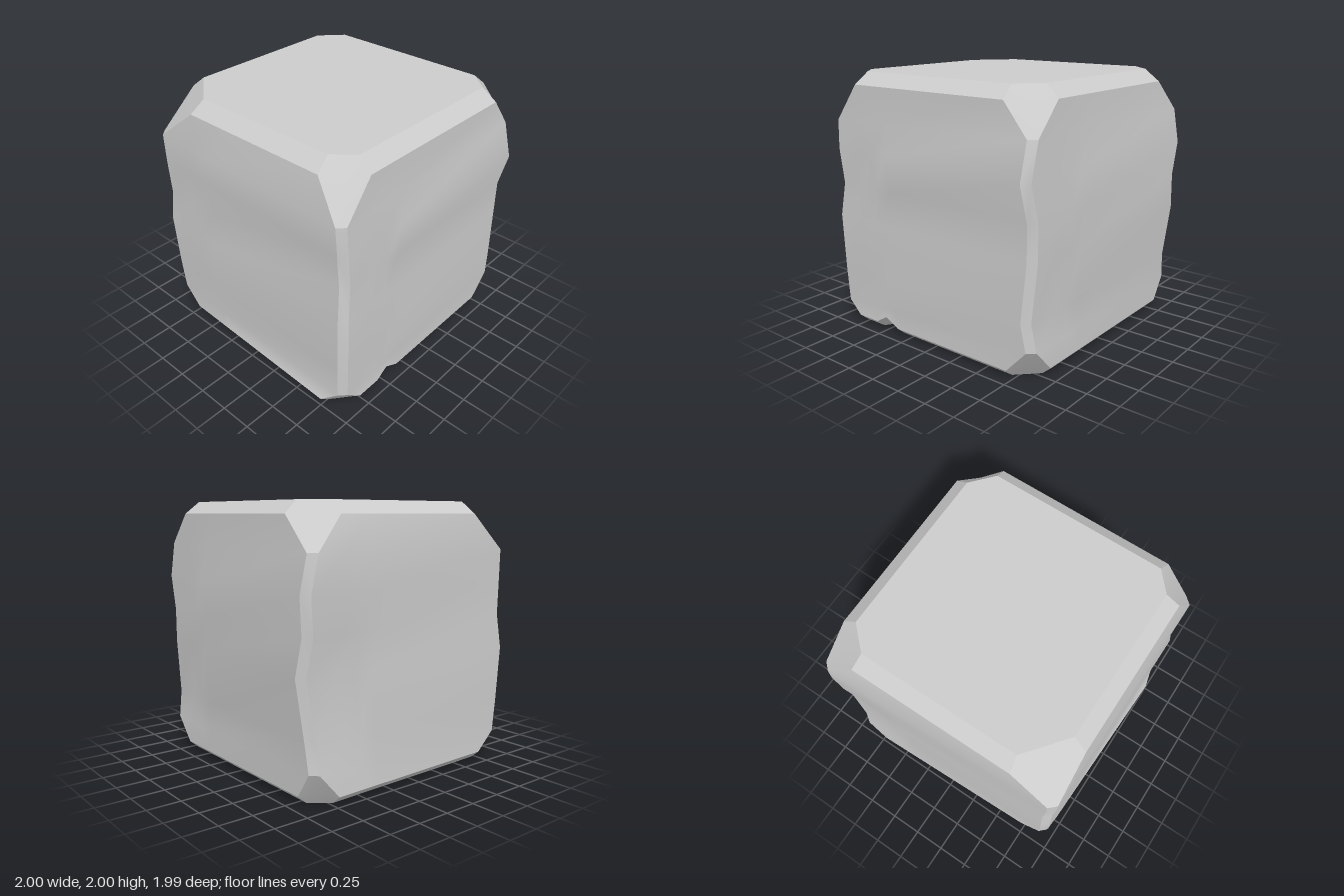
import * as THREE from 'three';

const V = (x, y, z) => new THREE.Vector3(x, y, z);
const CENTRE = V(0, 1, 0);

// Vertical corners: edge = [y, |x|, |z|] from top to bottom.
// up / low = where the corner cut starts along the z face (x) and the x face (z).
const CORNERS = [
  { sx: -1, sz: 1, up: [0.69, 0.67], low: [0.78, 0.75], edge: [
    [1.63, 0.98, 0.93], [1.41, 0.975, 0.94], [1.14, 0.945, 0.93],
    [0.88, 0.98, 0.95], [0.43, 0.97, 0.94], [0.16, 0.96, 0.93], [0.06, 1.0, 0.94]] },
  { sx: 1, sz: 1, up: [0.67, 0.65], low: [0.71, 0.71], edge: [
    [1.68, 0.93, 0.93], [1.41, 0.93, 1.0], [1.14, 0.935, 0.93],
    [0.88, 0.935, 0.93], [0.45, 0.9, 0.95], [0.24, 0.93, 0.93], [0.06, 0.93, 0.93]] },
  { sx: 1, sz: -1, up: [0.65, 0.66], low: [0.72, 0.8], edge: [
    [1.67, 0.95, 0.99], [1.41, 1.0, 0.98], [1.14, 0.975, 0.965],
    [0.88, 1.0, 0.925], [0.45, 0.94, 0.94], [0.24, 0.93, 0.97], [0.06, 0.93, 0.98]] },
  { sx: -1, sz: -1, up: [0.58, 0.52], low: [0.72, 0.72], edge: [
    [1.64, 0.955, 0.94], [1.41, 0.955, 0.935], [1.14, 0.94, 0.94],
    [0.88, 0.955, 0.97], [0.45, 0.95, 0.945], [0.2, 0.94, 0.93], [0.06, 0.95, 0.94]] },
];

// Points of one corner, listed top to bottom on its z face and its x face
function cornerPoints({ sx, sz, up, low, edge }) {
  const P = (x, y, z) => V(sx * x, y, sz * z);
  const shaft = edge.slice(0, 6);
  const [, lx, lz] = edge[6];
  return {
    z: [P(up[0], 2, 0.82), P(up[0] + 0.02, 1.91, 0.93),
      ...shaft.map(([y, x, z]) => P(x - 0.053, y, z)),
      P(low[0], 0.06, lz), P(low[0], 0, lz - 0.07)],
    x: [P(0.82, 2, up[1]), P(0.93, 1.91, up[1] + 0.02),
      ...shaft.map(([y, x, z]) => P(x, y, z - 0.05)),
      P(lx, 0.06, low[1]), P(lx - 0.07, 0, low[1])],
  };
}

// Mesh from points and triangles, turned so that it faces away from the centre
function patch(name, points, tris, material) {
  const sum = V(0, 0, 0);
  for (const [a, b, c] of tris) {
    const n = points[b].clone().sub(points[a]).cross(points[c].clone().sub(points[a]));
    sum.add(n);
  }
  const mid = points.reduce((m, p) => m.add(p), V(0, 0, 0)).divideScalar(points.length);
  const flip = sum.dot(mid.sub(CENTRE)) < 0;
  const geometry = new THREE.BufferGeometry().setFromPoints(points);
  geometry.setIndex(tris.flatMap(([a, b, c]) => (flip ? [a, c, b] : [a, b, c])));
  geometry.computeVertexNormals();
  const mesh = new THREE.Mesh(geometry, material);
  mesh.name = name;
  return mesh;
}

// Smooth patch through equal rows of points
function gridPatch(name, rows, material) {
  const n = rows[0].length;
  const tris = [];
  for (let r = 0; r < rows.length - 1; r++) {
    for (let c = 0; c < n - 1; c++) {
      const a = r * n + c;
      tris.push([a, a + n, a + 1], [a + 1, a + n, a + n + 1]);
    }
  }
  return patch(name, rows.flat(), tris, material);
}

// Polygon filled as a fan around its middle
function fanPatch(name, ring, material, middle) {
  const n = ring.length;
  const mid = middle || ring.reduce((m, p) => m.add(p), V(0, 0, 0)).divideScalar(n);
  return patch(name, [...ring, mid], ring.map((_, i) => [n, i, (i + 1) % n]), material);
}

export function createModel() {
  const stone = new THREE.MeshStandardMaterial({ color: 0xcccccc });
  const block = new THREE.Group();
  block.name = 'stoneBlock';

  const corners = CORNERS.map(cornerPoints);
  const cornerNames = ['frontRight', 'frontLeft', 'backLeft', 'backRight'];
  const columns = [0, 0.134, 0.205, 0.289, 1];
  const topRing = [];
  const bottomRing = [];

  // Four weathered sides with their upper and lower bevels
  ['front', 'left', 'back', 'right'].forEach((side, i) => {
    const axis = i % 2 ? 'x' : 'z';
    const from = corners[i][axis];
    const to = corners[(i + 1) % 4][axis];
    const rows = from.map((p, r) => columns.map((t) => p.clone().lerp(to[r], t)));
    if (side === 'front') { // chip in the lower front edge
      rows[8][2].y += 0.065;
      rows[9][2].y += 0.06;
    }
    block.add(gridPatch(side + 'TopBevel', rows.slice(0, 2), stone));
    block.add(gridPatch(side + 'Face', rows.slice(1, 9), stone));
    block.add(gridPatch(side + 'BottomBevel', rows.slice(8), stone));
    topRing.push(from[0], to[0]);
    bottomRing.push(...rows[9]);
  });

  // Bevelled vertical edges and cut corners
  corners.forEach(({ x, z }, i) => {
    const name = cornerNames[i];
    const strip = z.slice(2, 8).map((p, r) => [p, x[r + 2]]);
    block.add(gridPatch(name + 'Edge', strip, stone));
    block.add(fanPatch(name + 'TopCorner', [z[0], z[1], z[2], x[2], x[1], x[0]], stone));
    block.add(fanPatch(name + 'BottomCorner', [z[9], z[8], z[7], x[7], x[8], x[9]], stone));
  });

  // Top and underside
  block.add(fanPatch('topFace', topRing, stone));
  const underside = fanPatch('underside', bottomRing, stone, V(0, 0, 0));
  underside.geometry = underside.geometry.toNonIndexed();
  underside.geometry.computeVertexNormals();
  block.add(underside);

  return block;
}
